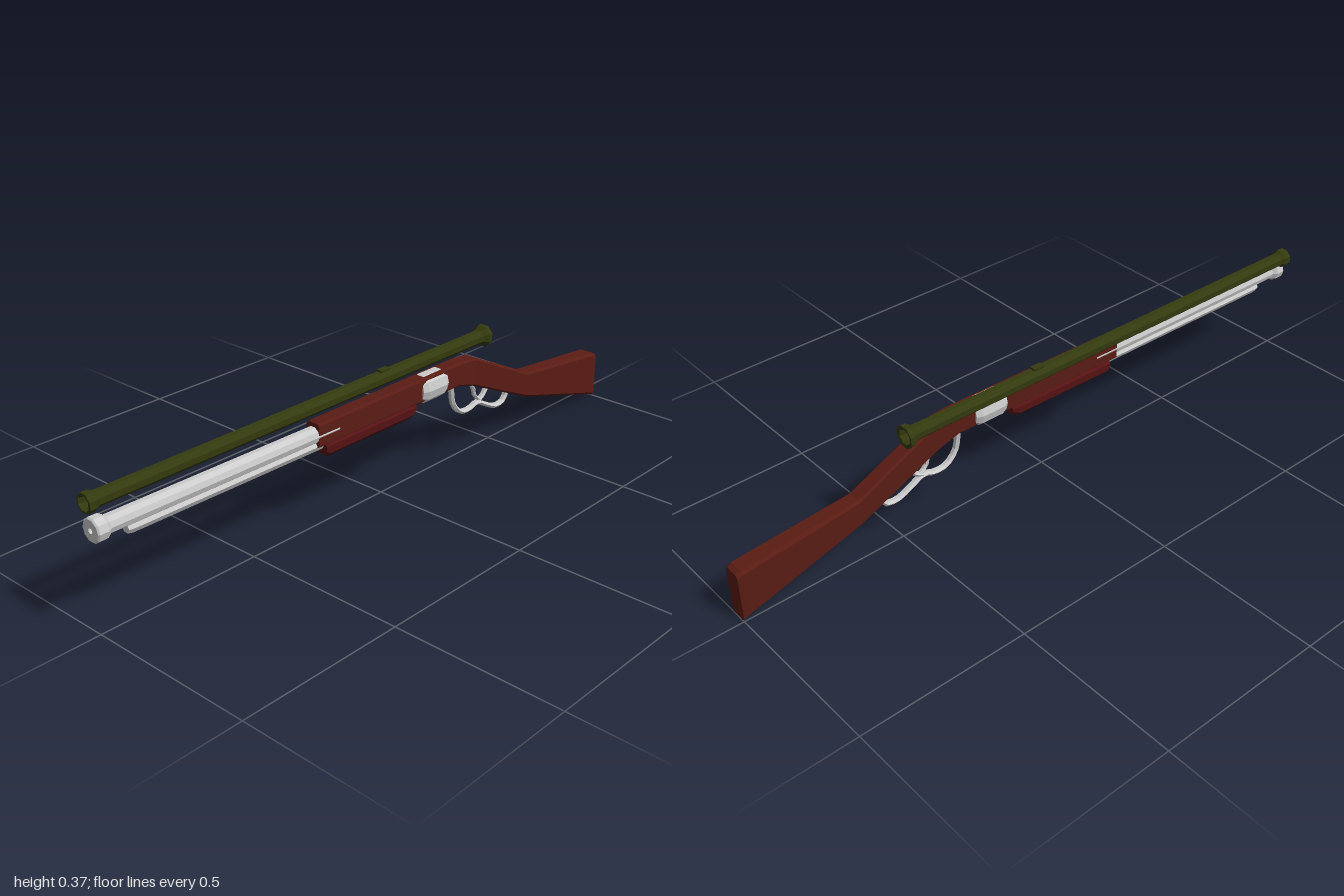
import * as THREE from 'three';

const mat = (color) => new THREE.MeshStandardMaterial({ color, flatShading: true });

function add(parent, name, geometry, material) {
  const mesh = new THREE.Mesh(geometry, material);
  mesh.name = name;
  parent.add(mesh);
  return mesh;
}

// Chamfered box sections [z, top, bottom, halfWidth, chamfer], listed front to back
function loft(sections) {
  const pos = [], idx = [], n = 8;
  for (const [z, t, b, w, c] of sections) {
    const ring = [[w, b + c], [w, t - c], [w - c, t], [c - w, t], [-w, t - c], [-w, b + c], [c - w, b], [w - c, b]];
    for (const [x, y] of ring) pos.push(x, y, z);
  }
  for (let k = 0; k < sections.length - 1; k++) {
    for (let i = 0; i < n; i++) {
      const j = (i + 1) % n, a = k * n, d = a + n;
      idx.push(a + i, d + i, d + j, a + i, d + j, a + j);
    }
  }
  const last = (sections.length - 1) * n;
  for (let i = 1; i < n - 1; i++) idx.push(0, i, i + 1, last, last + i + 1, last + i);
  const g = new THREE.BufferGeometry();
  g.setAttribute('position', new THREE.Float32BufferAttribute(pos, 3));
  g.setIndex(idx);
  g.computeVertexNormals();
  return g;
}

// Turned part along z: profile of [radius, z] from back to front
function turned(profile, sides, y) {
  const g = new THREE.LatheGeometry(profile.map(([r, z]) => new THREE.Vector2(r, z)), sides);
  g.rotateZ(0);
  g.rotateY(Math.PI / sides);
  g.rotateX(Math.PI / 2);
  g.translate(0, y, 0);
  return g;
}

// Thin bent bar in the centre plane: points of [z, y]
function bar(points, radius, segments) {
  const curve = new THREE.CatmullRomCurve3(points.map(([z, y]) => new THREE.Vector3(0, y, z)));
  const g = new THREE.TubeGeometry(curve, segments, radius, 6);
  g.scale(1.4, 1, 1);
  return g;
}

export function createModel() {
  const model = new THREE.Group();
  model.name = 'scopedRifle';
  const steel = mat(0xcccccc), wood = mat(0x5a1c14), redWood = mat(0x561214);
  const olive = mat(0x343a0e), dark = mat(0x15180a);
  steel.side = THREE.DoubleSide;

  // Rifle, turned slightly off the z axis
  const rifle = new THREE.Group();
  rifle.name = 'rifle';
  rifle.position.x = 0.012;
  rifle.rotation.y = -0.016;
  model.add(rifle);

  // Body and butt in one piece
  add(rifle, 'stock', loft([
    [0.278, 0.318, 0.248, 0.024, 0.006],
    [-0.3, 0.323, 0.248, 0.024, 0.006],
    [-0.37, 0.318, 0.228, 0.024, 0.006],
    [-0.63, 0.193, 0.11, 0.026, 0.007],
    [-0.985, 0.157, 0.008, 0.031, 0.008],
    [-0.999, 0.15, 0.0, 0.028, 0.008],
  ]), wood);

  // Sliding grip under the body
  add(rifle, 'foreGrip', loft([
    [0.252, 0.256, 0.218, 0.025, 0.012],
    [0.24, 0.26, 0.21, 0.028, 0.014],
    [-0.09, 0.26, 0.212, 0.028, 0.014],
    [-0.113, 0.256, 0.225, 0.022, 0.01],
  ]), redWood);

  // Barrel with a flared, drilled muzzle
  add(rifle, 'barrel', turned([
    [0, 0.2], [0.025, 0.2], [0.025, 0.955], [0.034, 0.968], [0.034, 0.994],
    [0.03, 0.998], [0.008, 0.998], [0.007, 0.96], [0, 0.96],
  ], 10, 0.282), steel);

  // Magazine tube below the barrel
  add(rifle, 'magazineTube', turned([
    [0, 0.2], [0.017, 0.2], [0.017, 0.885], [0.014, 0.9], [0, 0.9],
  ], 6, 0.25), steel);

  // Steel collar around the body
  add(rifle, 'receiverCollar', turned([
    [0.024, -0.246], [0.036, -0.244], [0.045, -0.226],
    [0.045, -0.154], [0.036, -0.136], [0.024, -0.134],
  ], 10, 0.281).scale(0.82, 1, 1), steel);

  // Lever loop, its brace and the trigger
  add(rifle, 'leverLoop', bar([
    [-0.288, 0.25], [-0.3, 0.185], [-0.335, 0.15], [-0.375, 0.147],
    [-0.41, 0.157], [-0.45, 0.138], [-0.5, 0.117], [-0.54, 0.124], [-0.555, 0.155],
  ], 0.008, 18), steel);
  add(rifle, 'leverBrace', bar([[-0.41, 0.157], [-0.435, 0.17], [-0.46, 0.2]], 0.007, 4), steel);
  add(rifle, 'trigger', bar([[-0.375, 0.235], [-0.395, 0.2], [-0.4, 0.18], [-0.425, 0.162]], 0.006, 5), steel);

  // Full-length scope beside the top of the barrel
  const scope = new THREE.Group();
  scope.name = 'scope';
  scope.position.set(-0.028, 0.34, 0);
  scope.rotation.y = -0.01;
  scope.rotation.x = 0.003;
  model.add(scope);
  add(scope, 'scopeTube', turned([
    [0, -0.45], [0.014, -0.455], [0.024, -0.49], [0.034, -0.492], [0.034, -0.479],
    [0.023, -0.462], [0.022, -0.4], [0.022, 0.955], [0.028, 0.966],
    [0.028, 0.986], [0.022, 0.987], [0.014, 0.955], [0, 0.95],
  ], 8, 0), olive);
  for (const [name, z, turn] of [['frontLens', 0.956, 0], ['rearLens', -0.456, Math.PI]]) {
    const lens = add(scope, name, new THREE.CircleGeometry(0.013, 8), dark);
    lens.position.z = z;
    lens.rotation.y = turn;
  }
  const knob = add(scope, 'adjustmentKnob', new THREE.BoxGeometry(0.02, 0.008, 0.035), olive);
  knob.position.set(0, 0.022, -0.04);

  return model;
}
